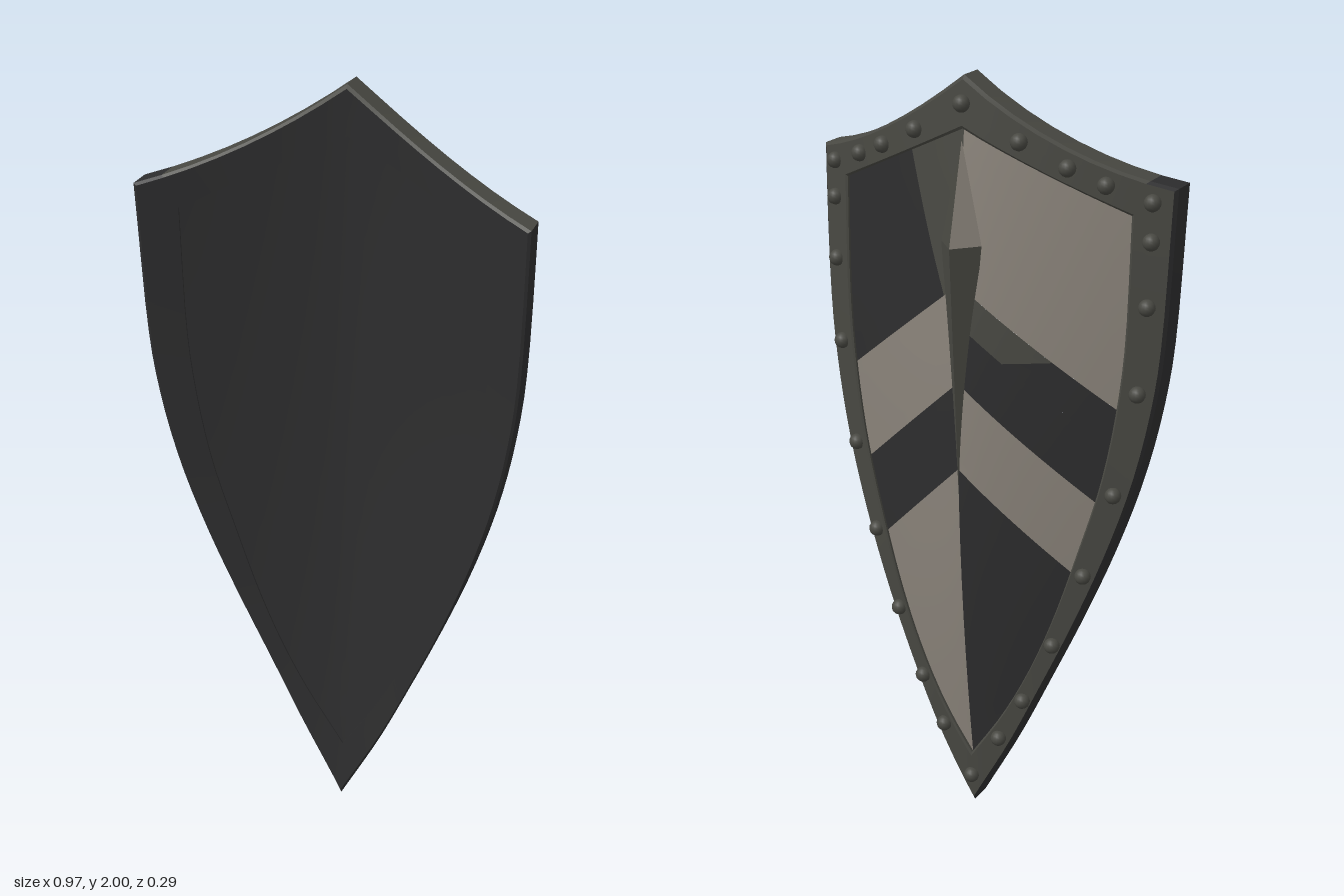
import * as THREE from 'three';
import { toCreasedNormals } from 'three/addons/utils/BufferGeometryUtils.js';

const mat = (name, color) => {
  const m = new THREE.MeshStandardMaterial({ color });
  m.name = name;
  return m;
};

// Bowed front surface of the shield
const frontZ = (x, y) => 0.162 * (Math.abs(x) / 0.485) ** 1.5 + 0.05 - 0.11 * y + 0.0425 * y * y;
const lerp = THREE.MathUtils.lerp;

// Side edges from corner to tip
const spline = pts => new THREE.SplineCurve(pts.map(p => new THREE.Vector2(...p)));
const outerSide = spline([[0.485, 1.755], [0.475, 1.4], [0.455, 1.2], [0.415, 1], [0.355, 0.8], [0.28, 0.6], [0.195, 0.4], [0.105, 0.2], [0, 0]]);
const innerSide = spline([[0.39, 1.69], [0.387, 1.39], [0.37, 1.19], [0.338, 1], [0.29, 0.82], [0.23, 0.62], [0.165, 0.45], [0.09, 0.3], [0, 0.16]]);

// Half width of an edge at a given height
function widthAt(curve, y) {
  let lo = 0, hi = 1;
  for (let i = 0; i < 24; i++) {
    const mid = (lo + hi) / 2;
    if (curve.getPoint(mid).y > y) lo = mid; else hi = mid;
  }
  return curve.getPoint(lo).x;
}

// Closed outline, clockwise from the top point
const TOP = 8, SIDE = 28;
function outline(side, w, top, drop, sag) {
  const half = [];
  for (let i = 0; i < TOP; i++) {
    const s = i / TOP;
    half.push(new THREE.Vector2(w * s, top - drop * (s + sag * s * (1 - s))));
  }
  half.push(...side.getPoints(SIDE));
  const mirrored = half.slice(0, -1).reverse().map(p => new THREE.Vector2(-p.x, p.y));
  return [...half, ...mirrored];
}

function meshFrom(name, quads, material, crease = 0.5) {
  const pos = [];
  for (const q of quads) {
    const order = q.length === 4 ? [0, 1, 2, 0, 2, 3] : [0, 1, 2];
    for (const k of order) pos.push(...q[k]);
  }
  let g = new THREE.BufferGeometry();
  g.setAttribute('position', new THREE.Float32BufferAttribute(pos, 3));
  g = toCreasedNormals(g, crease);
  const m = new THREE.Mesh(g, material);
  m.name = name;
  return m;
}

// Painted panel: row knots run as chevrons from the centre line to the rim
const CENTRE = [1.875, 1.5, 1.25, 1.02, 0.16];
const EDGE = [1.69, 1.2, 0.95, 0.75, 0.16];
function panelPoint(sgn, u, v, front) {
  const k = Math.min(3, Math.floor(v)), f = v - k;
  const cy = lerp(CENTRE[k], CENTRE[k + 1], f), ey = lerp(EDGE[k], EDGE[k + 1], f);
  const x = widthAt(innerSide, ey) * 1.01 * u, y = lerp(cy, ey, u);
  const bulge = Math.sin(Math.PI * Math.min(1, Math.max(0, (cy - 0.16) / 1.715)));
  const depth = front ? 0.004 : 0.066 + 0.024 * (1 - u) * bulge;
  return [sgn * x, y, frontZ(x, y) - depth];
}

// Patch between rows v0..v1; a and b give its u limits at the first and last row
function patch(sgn, v0, v1, a = [0, 0], b = [1, 1], front = false) {
  const rows = Math.ceil((v1 - v0) * 8), cols = 10, quads = [];
  const P = (i, j) => {
    const t = j / rows;
    return panelPoint(sgn, lerp(lerp(a[0], a[1], t), lerp(b[0], b[1], t), i / cols), lerp(v0, v1, t), front);
  };
  for (let j = 0; j < rows; j++) for (let i = 0; i < cols; i++) {
    const q = [P(i, j), P(i + 1, j), P(i + 1, j + 1), P(i, j + 1)];
    quads.push((sgn > 0) !== front ? q : q.reverse());
  }
  return quads;
}

export function createModel() {
  const group = new THREE.Group();
  group.name = 'shield';
  const dark = mat('dark paint', 0x2d2d2e);
  const steel = mat('olive steel', 0x484842);
  const pale = mat('pale paint', 0x8a837a);

  // Rim: bevelled cross-section swept round the outline
  const outer = outline(outerSide, 0.485, 2, 0.245, 0.5);
  const inner = outline(innerSide, 0.39, 1.875, 0.185, 0);
  const T = 0.078;
  const section = [[1, 0.012], [1, 0], [0.08, 0], [0, 0.007], [0, T - 0.007], [0.08, T], [0.94, T], [1, T - 0.005], [1, 0.05]];
  const n = outer.length;
  const ring = (k, i) => {
    const p = outer[i % n].clone().lerp(inner[i % n], section[k][0]);
    return [p.x, p.y, frontZ(p.x, p.y) - section[k][1]];
  };
  const rim = { front: [], top: [], side: [], back: [] };
  for (let i = 0; i < n; i++) for (let k = 0; k < section.length - 1; k++) {
    const onTop = i < TOP || i >= n - TOP;
    const part = k < 2 ? 'front' : k > 4 ? 'back' : onTop ? 'top' : 'side';
    rim[part].push([ring(k, i), ring(k, i + 1), ring(k + 1, i + 1), ring(k + 1, i)]);
  }
  group.add(
    meshFrom('rimFront', rim.front, dark),
    meshFrom('rimTopEdge', rim.top, steel),
    meshFrom('rimSideEdge', rim.side, dark),
    meshFrom('rimBack', rim.back, steel)
  );

  // Plain hollow face
  group.add(meshFrom('innerFace', [...patch(1, 0, 4, [0, 0], [1, 1], true), ...patch(-1, 0, 4, [0, 0], [1, 1], true)], dark));

  // Counterchanged chevron bands on the bulging face, with two worn patches
  const worn = [0.4, 0.12];
  group.add(
    meshFrom('darkBands', [
      ...patch(1, 0, 1, worn), ...patch(1, 2, 3),
      ...patch(-1, 1, 1.4, [0.6, 0.3]), ...patch(-1, 1.4, 2), ...patch(-1, 3, 4)
    ], dark),
    meshFrom('paleBands', [
      ...patch(1, 1, 2), ...patch(1, 3, 4), ...patch(-1, 0, 1), ...patch(-1, 2, 3)
    ], pale),
    meshFrom('wornPatches', [
      ...patch(1, 0, 1, [0, 0], worn), ...patch(-1, 1, 1.4, [0, 0], [0.6, 0.3])
    ], steel)
  );

  // Raised spike-shaped spine
  const top = [0, 1.85, -0.085], apex = [0, 1.6, -0.148], foot = [0, 0.95, -0.106];
  const L = [0.055, 1.6, -0.088], R = [-0.055, 1.6, -0.088];
  group.add(
    meshFrom('spine', [[top, L, apex], [foot, apex, L], [foot, R, apex]], steel, 0.1),
    meshFrom('spineUpperRight', [[top, apex, R]], pale, 0.1)
  );

  // Rivets along the rim
  const rivetGeo = new THREE.SphereGeometry(0.021, 14, 10);
  const rivets = new THREE.Group();
  rivets.name = 'rivets';
  const addRivet = (x, y) => {
    const r = new THREE.Mesh(rivetGeo, steel);
    r.name = 'rivet';
    r.position.set(x, y, frontZ(x, y) - T - 0.004);
    rivets.add(r);
  };
  addRivet(0, 1.935);
  addRivet(0, 0.09);
  for (const s of [1, -1]) {
    for (const x of [0.14, 0.25, 0.335, 0.435]) {
      const t = x / 0.4375;
      addRivet(s * x, 1.9375 - 0.215 * (t + 0.28 * t * (1 - t)));
    }
    for (const y of [1.63, 1.47, 1.25, 0.98, 0.75, 0.54, 0.36, 0.23]) {
      addRivet(s * (widthAt(outerSide, y) + widthAt(innerSide, y)) / 2, y);
    }
  }
  group.add(rivets);
  return group;
}
